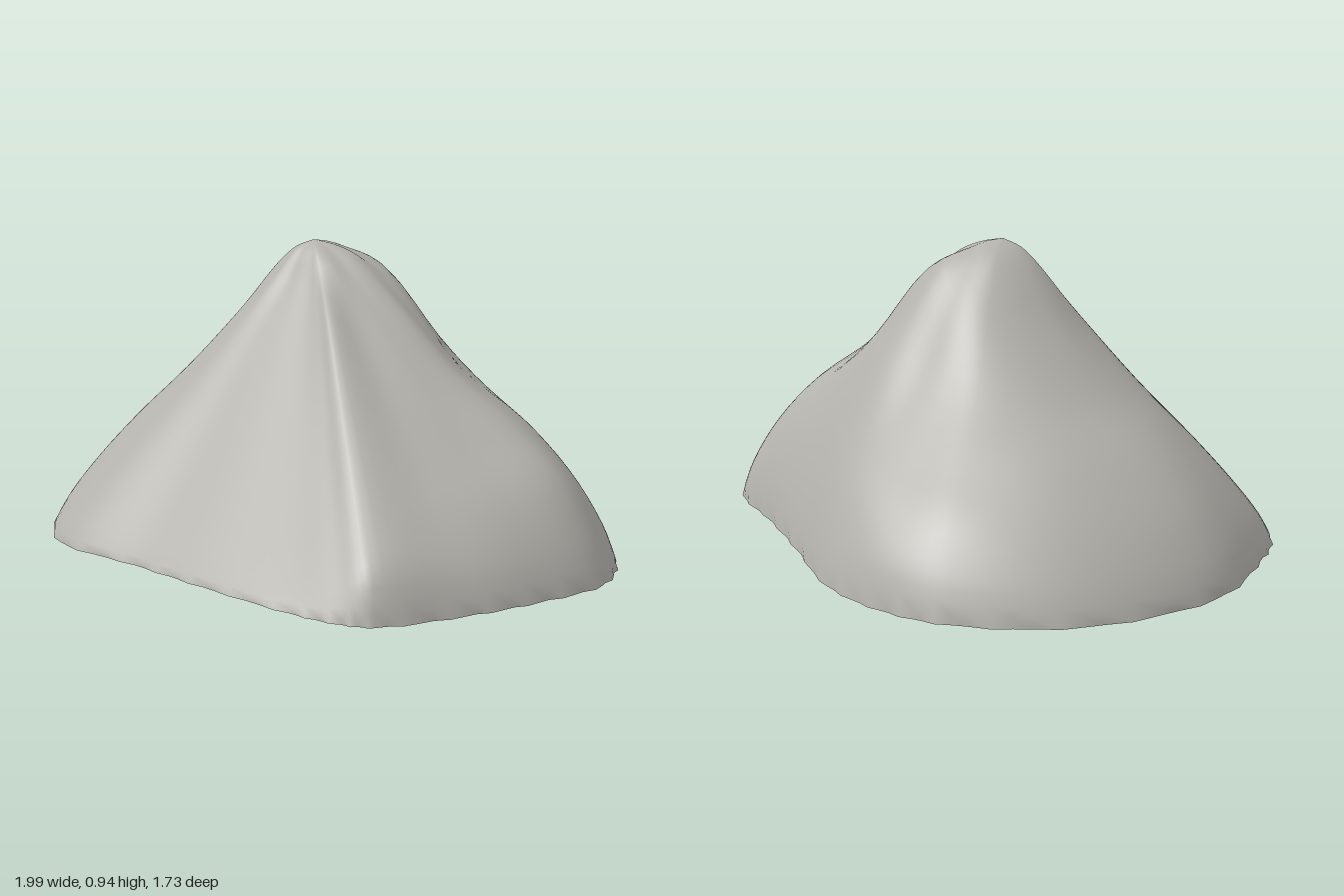
import * as THREE from 'three';

const PEAK = new THREE.Vector3(-0.08, 0.945, 0.04);
// Fractions of the way from peak to foot at which each spoke gives a height
const STEPS = [0.15, 0.3, 0.5, 0.7, 0.85, 0.95];
const FRONT = [0.82, 0.68, 0.485, 0.29, 0.145, 0.05]; // flat front slope

// Spokes running around the hill: foot x, foot z, heights along the spoke
const SPOKES = [
  [0.62, 0.83, [0.84, 0.73, 0.55, 0.37, 0.23, 0.13]], // sharp front ridge
  [0.78, 0.62, [0.86, 0.72, 0.54, 0.365, 0.23, 0.11]],
  [0.9, 0.4, [0.87, 0.74, 0.565, 0.39, 0.26, 0.12]],
  [0.99, 0.16, [0.89, 0.765, 0.575, 0.43, 0.3, 0.13]], // side shoulder
  [0.95, -0.05, [0.9, 0.77, 0.56, 0.42, 0.27, 0.12]],
  [0.84, -0.2, [0.9, 0.8, 0.57, 0.42, 0.27, 0.12]],
  [0.6, -0.35, [0.91, 0.85, 0.65, 0.46, 0.29, 0.13]],
  [0.3, -0.56, [0.92, 0.87, 0.69, 0.48, 0.29, 0.12]],
  [0, -0.78, [0.91, 0.8, 0.57, 0.4, 0.27, 0.12]],
  [-0.25, -0.86, [0.9, 0.77, 0.54, 0.37, 0.25, 0.13]], // back shoulder
  [-0.48, -0.85, [0.89, 0.74, 0.53, 0.37, 0.25, 0.12]],
  [-0.8, -0.66, [0.87, 0.7, 0.51, 0.37, 0.23, 0.1]],
  [-1, -0.25, [0.86, 0.69, 0.5, 0.36, 0.23, 0.1]],
  [-0.96, 0.15, [0.86, 0.7, 0.52, 0.36, 0.22, 0.1]],
  [-0.9, 0.36, [0.84, 0.69, 0.5, 0.33, 0.19, 0.08]],
  [-0.67, 0.63, [0.83, 0.68, 0.485, 0.3, 0.16, 0.06]],
  [-0.3, 0.71, FRONT],
  [0, 0.78, FRONT],
  [0.35, 0.85, FRONT],
  [0.52, 0.86, [0.83, 0.7, 0.51, 0.32, 0.18, 0.08]],
];

const RINGS = 32;
const SEGMENTS = SPOKES.length * 6;

// Smooth curve from the peak down to the foot
function spokeCurve([x, z, heights]) {
  const at = (t, y) => new THREE.Vector3(
    THREE.MathUtils.lerp(PEAK.x, x, t), y, THREE.MathUtils.lerp(PEAK.z, z, t));
  const nearTop = PEAK.y - 0.28 * (PEAK.y - heights[0]);
  return new THREE.CatmullRomCurve3([
    PEAK.clone(), at(0.07, nearTop),
    ...STEPS.map((t, i) => at(t, heights[i])),
    at(1, 0),
  ]);
}

function geometryFrom(positions, index) {
  const g = new THREE.BufferGeometry();
  g.setAttribute('position', new THREE.Float32BufferAttribute(positions, 3));
  g.setIndex(index);
  g.computeVertexNormals();
  return g;
}

export function createModel() {
  const group = new THREE.Group();
  group.name = 'hill';
  const stone = new THREE.MeshStandardMaterial({ color: 0xb4b2ac });
  stone.name = 'warm grey stone';

  const curves = SPOKES.map(spokeCurve);
  const positions = [PEAK.x, PEAK.y, PEAK.z];
  const foot = [];
  const index = [];

  // Closed rings from the peak outwards
  for (let r = 1; r <= RINGS; r++) {
    const ring = new THREE.CatmullRomCurve3(curves.map((c) => c.getPoint(r / RINGS)), true);
    for (let s = 0; s < SEGMENTS; s++) {
      const p = ring.getPoint(s / SEGMENTS);
      if (r === RINGS) {
        // slightly chipped rim
        const chip = 1 - 0.006 * (1 + Math.sin(s * 2.1));
        p.set(p.x * chip, 0, p.z * chip);
        foot.push(p.x, 0, p.z);
      }
      positions.push(p.x, p.y, p.z);
    }
  }

  const id = (r, s) => 1 + (r - 1) * SEGMENTS + (s % SEGMENTS);
  for (let s = 0; s < SEGMENTS; s++) {
    index.push(0, id(1, s), id(1, s + 1));
    for (let r = 1; r < RINGS; r++) {
      const a = id(r, s), b = id(r + 1, s), c = id(r + 1, s + 1), d = id(r, s + 1);
      index.push(a, b, c, a, c, d);
    }
  }
  const slopes = new THREE.Mesh(geometryFrom(positions, index), stone);
  slopes.name = 'slopes';
  group.add(slopes);

  // Flat underside
  const baseIndex = [];
  for (let s = 0; s < SEGMENTS; s++) baseIndex.push(0, 1 + ((s + 1) % SEGMENTS), 1 + s);
  const base = new THREE.Mesh(geometryFrom([0, 0, 0, ...foot], baseIndex), stone);
  base.name = 'underside';
  group.add(base);

  return group;
}
